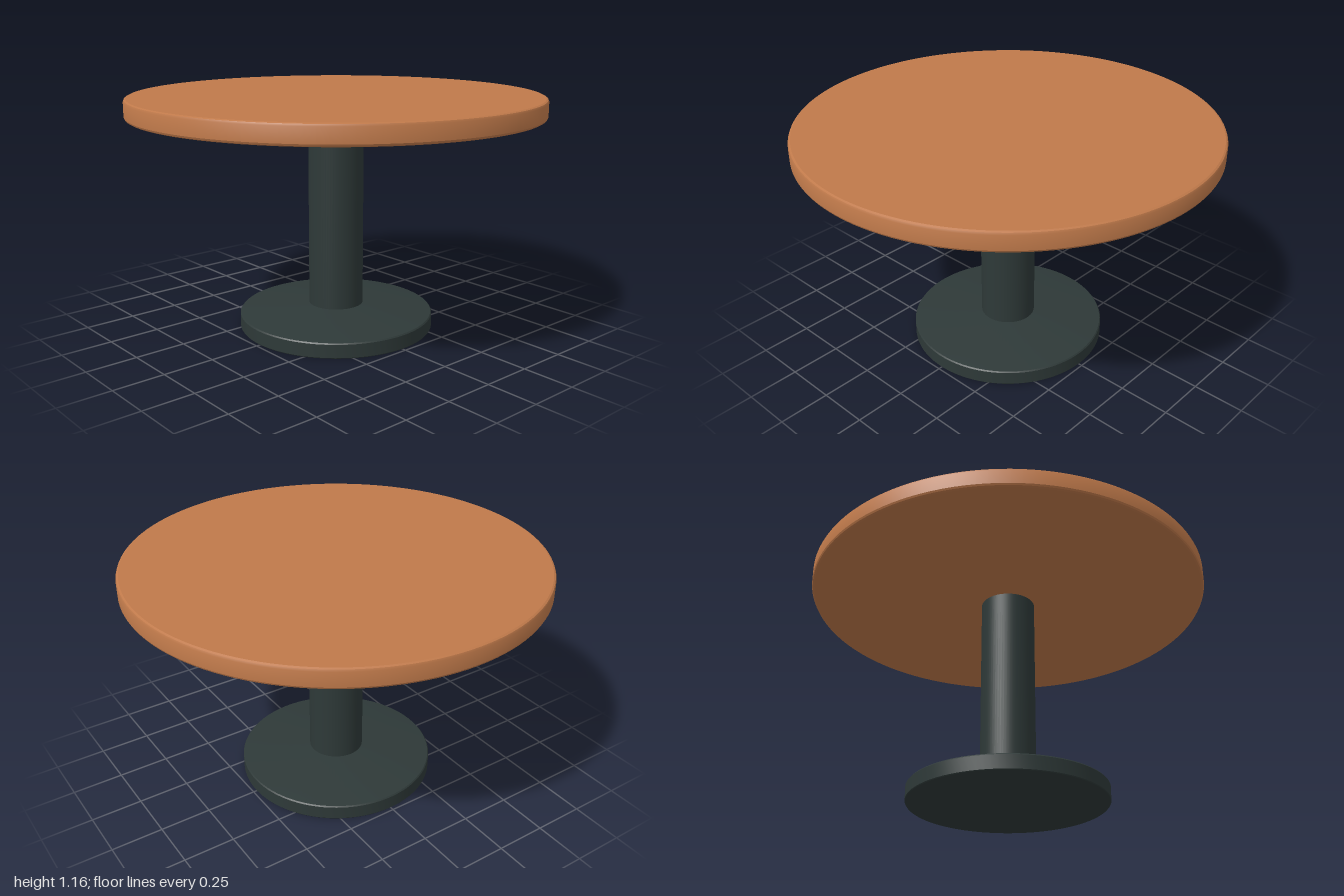
import * as THREE from 'three';
import { toCreasedNormals } from 'three/addons/utils/BufferGeometryUtils.js';

// Turned solid from a bottom-to-top [radius, height] profile
function turned(name, profile, material, segments = 96) {
  const points = profile.map(([r, y]) => new THREE.Vector2(r, y));
  const geometry = toCreasedNormals(new THREE.LatheGeometry(points, segments), Math.PI / 7);
  const mesh = new THREE.Mesh(geometry, material);
  mesh.name = name;
  return mesh;
}

export function createModel() {
  const wood = new THREE.MeshStandardMaterial({ color: 0xbf794a });
  wood.name = 'warm wood';
  const metal = new THREE.MeshStandardMaterial({ color: 0x2e3938 });
  metal.name = 'dark metal';

  const table = new THREE.Group();
  table.name = 'roundPedestalTable';

  // Round top with softened rims
  table.add(turned('tableTop', [
    [0, 1.07], [0.988, 1.07], [0.996, 1.074], [1, 1.082],
    [1, 1.15], [0.996, 1.159], [0.988, 1.163], [0, 1.163],
  ], wood, 128));

  // Straight column
  const column = new THREE.Mesh(new THREE.CylinderGeometry(0.135, 0.135, 0.97, 64, 1, true), metal);
  column.name = 'column';
  column.position.y = 0.59;
  table.add(column);

  // Foot: upright rim below a shallow cone
  table.add(turned('base', [
    [0, 0], [0.48, 0], [0.483, 0.004], [0.483, 0.069], [0.478, 0.075], [0.135, 0.113], [0, 0.113],
  ], metal));

  return table;
}
